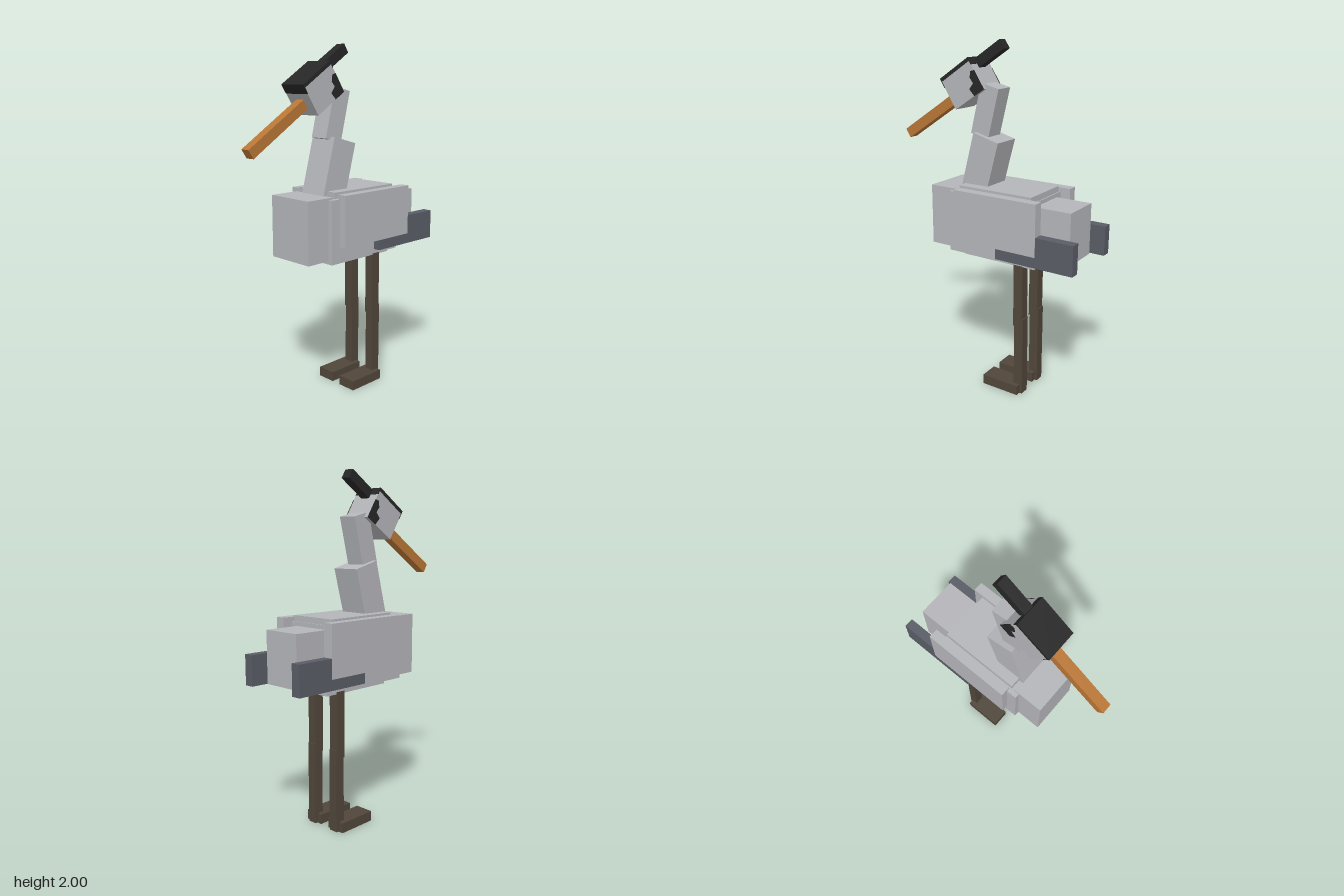
import * as THREE from 'three';

export function createModel() {
  const model = new THREE.Group();
  model.name = 'wadingBird';

  const paint = (name, color) => {
    const m = new THREE.MeshStandardMaterial({ color });
    m.name = name;
    return m;
  };
  const grey = paint('greyPlumage', 0xb4b5b9);
  const slate = paint('slateFeathers', 0x5a5c66);
  const brown = paint('legBrown', 0x50463a);
  const orange = paint('billOrange', 0xb87636);
  const black = paint('capBlack', 0x262626);

  // Box given by its extents on each axis
  const box = (parent, name, mat, [x0, x1], [y0, y1], [z0, z1]) => {
    const mesh = new THREE.Mesh(new THREE.BoxGeometry(x1 - x0, y1 - y0, z1 - z0), mat);
    mesh.position.set((x0 + x1) / 2, (y0 + y1) / 2, (z0 + z1) / 2);
    mesh.name = name;
    parent.add(mesh);
    return mesh;
  };
  const wide = (h) => [-h, h];

  // Body
  box(model, 'body', grey, wide(0.176), [0.826, 1.176], [-0.345, 0.18]);
  box(model, 'backPlate', grey, wide(0.148), [1.1, 1.21], [-0.338, 0.13]);
  box(model, 'belly', grey, wide(0.112), [0.793, 0.9], [-0.343, 0.12]);
  box(model, 'chest', grey, wide(0.148), [0.836, 1.186], [0.148, 0.328]);
  box(model, 'tail', grey, wide(0.118), [0.862, 1.153], [-0.558, -0.3]);

  // Wings and legs, mirrored
  for (const side of [1, -1]) {
    const label = side > 0 ? 'left' : 'right';
    const span = (a, b) => (side > 0 ? [a, b] : [-b, -a]);
    box(model, label + 'Wing', grey, span(0.16, 0.217), [0.91, 1.2], [-0.405, 0.12]);
    box(model, label + 'WingTip', slate, span(0.161, 0.216), [0.851, 1.02], [-0.627, -0.155]);
    box(model, label + 'Thigh', brown, span(0.058, 0.115), [0.425, 0.83], [-0.27, -0.213]);
    box(model, label + 'Shin', brown, span(0.0585, 0.1145), [0.001, 0.475], [-0.276, -0.22]);
    box(model, label + 'Foot', brown, span(0.03, 0.144), [0, 0.057], [-0.26, -0.023]);
  }

  // Neck in two tilted segments
  const tilted = (name, width, length, depth, y, z, degrees) => {
    const mesh = new THREE.Mesh(new THREE.BoxGeometry(width, length, depth), grey);
    mesh.name = name;
    mesh.position.set(0, y, z);
    mesh.rotation.x = THREE.MathUtils.degToRad(degrees);
    model.add(mesh);
  };
  tilted('lowerNeck', 0.174, 0.35, 0.167, 1.312, 0.039, -15);
  tilted('upperNeck', 0.114, 0.287, 0.117, 1.62, 0.02, -14);

  // Head group, pitched down along the bill
  const head = new THREE.Group();
  head.name = 'head';
  head.position.set(0, 1.762, 0.151);
  head.rotation.x = THREE.MathUtils.degToRad(33);
  model.add(head);
  box(head, 'skull', grey, wide(0.086), wide(0.096), wide(0.112));
  box(head, 'bill', orange, wide(0.029), [-0.054, 0.003], [0.1, 0.549]);
  box(head, 'crest', black, wide(0.029), [0.031, 0.087], [-0.302, -0.1]);

  // Black head markings as thin plates
  box(head, 'crown', black, wide(0.087), [0.094, 0.0975], wide(0.113));
  box(head, 'foreheadBand', black, wide(0.087), [0.04, 0.097], [0.11, 0.1135]);
  box(head, 'napeBand', black, wide(0.087), [0.055, 0.097], [-0.1135, -0.11]);
  const patch = new THREE.Shape([
    [-0.113, 0.02], [-0.09, 0.028], [-0.066, 0], [-0.07, -0.035],
    [-0.03, -0.05], [-0.04, -0.096], [-0.113, -0.096],
  ].map(([f, u]) => new THREE.Vector2(f, u)));
  const patchGeometry = new THREE.ExtrudeGeometry(patch, { depth: 0.004, bevelEnabled: false });
  patchGeometry.translate(0, 0, -0.002).rotateY(-Math.PI / 2);
  for (const side of [1, -1]) {
    const label = side > 0 ? 'left' : 'right';
    const mesh = new THREE.Mesh(patchGeometry, black);
    mesh.name = label + 'CheekPatch';
    mesh.position.x = side * 0.0855;
    head.add(mesh);
    const edge = side > 0 ? [0.084, 0.0875] : [-0.0875, -0.084];
    box(head, label + 'CapEdge', black, edge, [0.077, 0.097], wide(0.113));
  }

  return model;
}
